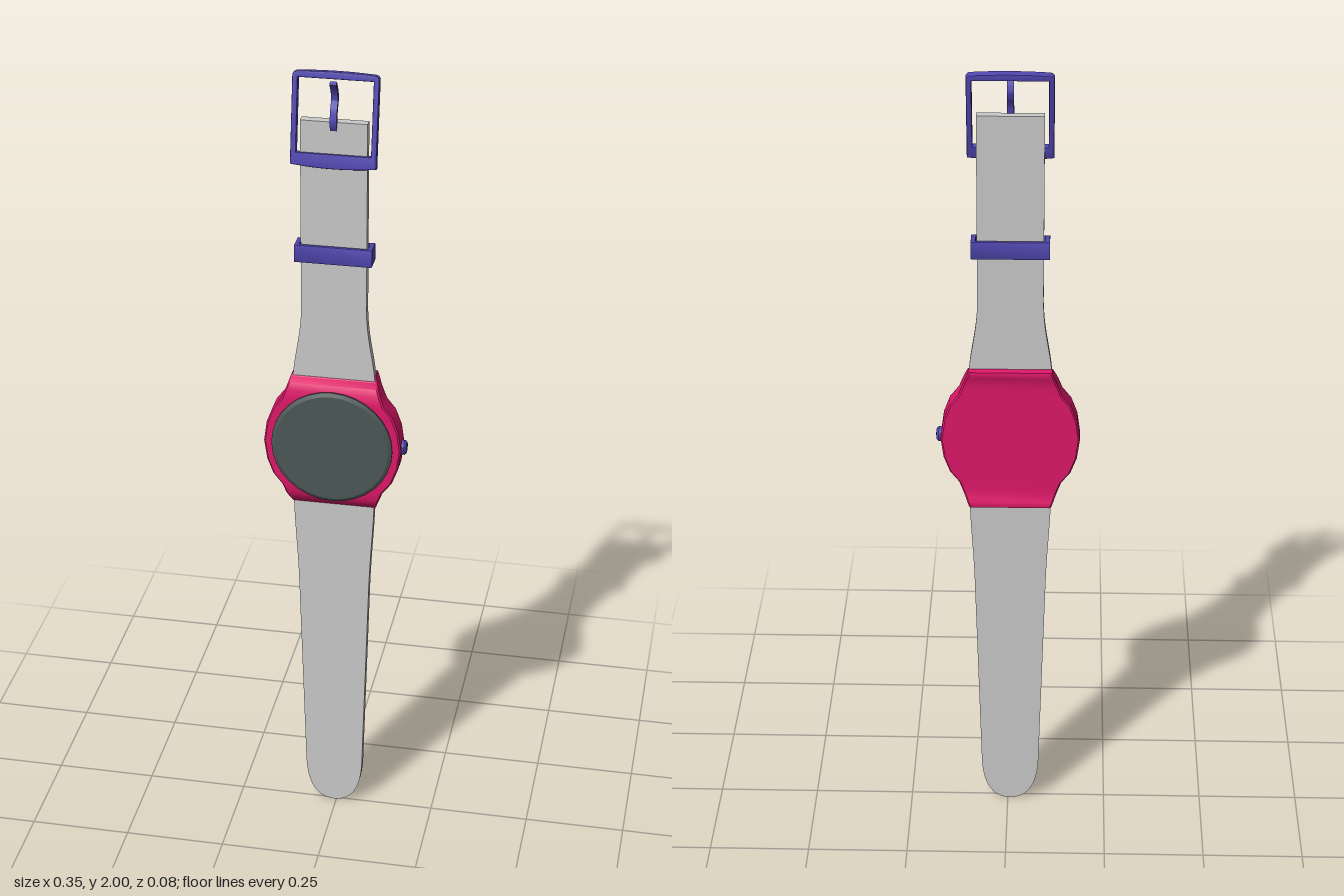
import * as THREE from 'three';
import { toCreasedNormals } from 'three/addons/utils/BufferGeometryUtils.js';

const CX = -0.006, CY = 1.067; // centre of the dial
const material = (color) => new THREE.MeshStandardMaterial({ color, roughness: 0.6 });

function addMesh(parent, name, geometry, mat, x = 0, y = 0, z = 0) {
  const mesh = new THREE.Mesh(geometry, mat);
  mesh.name = name;
  mesh.position.set(x, y, z);
  parent.add(mesh);
  return mesh;
}

// Plate of a given depth, centred on z = 0
function plate(shape, depth, bevel = 0) {
  const g = new THREE.ExtrudeGeometry(shape, {
    depth: depth - 2 * bevel, curveSegments: 12, bevelEnabled: bevel > 0,
    bevelThickness: bevel, bevelSize: bevel, bevelOffset: -bevel, bevelSegments: 2,
  });
  g.translate(0, 0, -depth / 2 + bevel);
  return toCreasedNormals(g, 0.6);
}

// Case: cross-sections stacked along y, rows are [y, halfWidth, zFront, zBack]
function caseGeometry() {
  const half = [
    [0, 0.168, 0.03, -0.028], [0.05, 0.161, 0.03, -0.028], [0.09, 0.146, 0.03, -0.028],
    [0.118, 0.124, 0.03, -0.028], [0.142, 0.115, 0.027, -0.028], [0.158, 0.109, 0.019, -0.03],
    [0.17, 0.105, 0.008, -0.034], [0.18, 0.101, 0.001, -0.036], [0.184, 0.1, -0.008, -0.035],
    [0.185, 0.1, -0.02, -0.03],
  ];
  const rows = [...half.slice(1).reverse().map(([y, ...r]) => [-y, ...r]), ...half];
  const pos = [], idx = [], n = 8, e = 0.004;
  for (const [y, w, f, b] of rows) {
    const ring = [[w - e, f], [w, f - e], [w, b + e], [w - e, b],
      [e - w, b], [-w, b + e], [-w, f - e], [e - w, f]];
    ring.forEach(([x, z]) => pos.push(x, y, z));
  }
  for (let r = 0; r < rows.length - 1; r++) {
    for (let i = 0; i < n; i++) {
      const a = r * n + i, b = r * n + (i + 1) % n;
      idx.push(a, b, a + n, b, b + n, a + n);
    }
  }
  const last = (rows.length - 1) * n;
  for (let i = 1; i < n - 1; i++) {
    idx.push(0, i + 1, i, last, last + i, last + i + 1);
  }
  const g = new THREE.BufferGeometry();
  g.setAttribute('position', new THREE.Float32BufferAttribute(pos, 3));
  g.setIndex(idx);
  return toCreasedNormals(g, 0.6);
}

// Strap outlines, in x relative to the centre line
function lowerStrapShape() {
  const s = new THREE.Shape();
  s.moveTo(-0.1, 0.91);
  s.bezierCurveTo(-0.098, 0.82, -0.091, 0.76, -0.088, 0.66);
  s.lineTo(-0.073, 0.12);
  s.bezierCurveTo(-0.07, 0.04, -0.045, 0, 0, 0);
  s.bezierCurveTo(0.045, 0, 0.07, 0.04, 0.073, 0.12);
  s.lineTo(0.088, 0.66);
  s.bezierCurveTo(0.091, 0.76, 0.098, 0.82, 0.1, 0.91);
  return s;
}

function upperStrapShape() {
  const s = new THREE.Shape();
  s.moveTo(0.1, 1.23);
  s.bezierCurveTo(0.096, 1.3, 0.08, 1.34, 0.078, 1.42);
  s.lineTo(0.078, 1.89);
  s.lineTo(-0.078, 1.89);
  s.lineTo(-0.078, 1.42);
  s.bezierCurveTo(-0.08, 1.34, -0.096, 1.3, -0.1, 1.23);
  return s;
}

function rectPath(Type, x0, y0, x1, y1) {
  return new Type([[x0, y0], [x1, y0], [x1, y1], [x0, y1]].map(([x, y]) => new THREE.Vector2(x, y)));
}

function buildBuckle(mat) {
  const buckle = new THREE.Group();
  buckle.name = 'buckle';
  // Frame with gently bowed top and bottom bars
  const s = new THREE.Shape();
  s.moveTo(-0.1, -0.106);
  s.quadraticCurveTo(0, -0.118, 0.1, -0.106);
  s.lineTo(0.1, 0.1);
  s.quadraticCurveTo(0.098, 0.107, 0.09, 0.108);
  s.quadraticCurveTo(0, 0.114, -0.09, 0.108);
  s.quadraticCurveTo(-0.098, 0.107, -0.1, 0.1);
  s.holes.push(rectPath(THREE.Path, -0.087, -0.078, 0.087, 0.094));
  const frame = addMesh(buckle, 'buckleFrame', plate(s, 0.02, 0.003), mat, CX, 1.889, -0.01);
  frame.rotation.x = -0.175;

  // Wavy prong, drawn in side profile and extruded across x
  const curve = new THREE.CatmullRomCurve3([
    [-0.004, 1.862], [0.008, 1.885], [0.003, 1.915], [-0.01, 1.94], [-0.004, 1.962], [0.012, 1.985],
  ].map(([z, y]) => new THREE.Vector3(-z, y, 0)));
  const steps = 20, left = [], right = [];
  for (let i = 0; i <= steps; i++) {
    const p = curve.getPoint(i / steps), t = curve.getTangent(i / steps);
    left.push(new THREE.Vector2(p.x - t.y * 0.005, p.y + t.x * 0.005));
    right.push(new THREE.Vector2(p.x + t.y * 0.005, p.y - t.x * 0.005));
  }
  const prong = plate(new THREE.Shape([...right, ...left.reverse()]), 0.016);
  prong.rotateY(Math.PI / 2);
  addMesh(buckle, 'prong', prong, mat, CX, 0, 0);
  return buckle;
}

export function createModel() {
  const model = new THREE.Group();
  model.name = 'wristwatch';
  const grey = material(0xcccccc), pink = material(0xe0186a);
  const blue = material(0x5046b0), dark = material(0x4c5856);

  // Straps
  addMesh(model, 'lowerStrap', plate(lowerStrapShape(), 0.022), grey, CX, 0, -0.005);
  addMesh(model, 'upperStrap', plate(upperStrapShape(), 0.022), grey, CX, 0, -0.005);

  // Case
  addMesh(model, 'case', caseGeometry(), pink, CX, CY, 0);

  // Dial glass with a bevelled rim
  const profile = [[0, 0.02], [0.142, 0.02], [0.142, 0.031], [0.148, 0.032], [0.148, 0.036], [0.139, 0.041], [0, 0.042]];
  const glass = new THREE.LatheGeometry(profile.map(([r, y]) => new THREE.Vector2(r, y)), 32);
  glass.rotateX(Math.PI / 2);
  addMesh(model, 'dialGlass', toCreasedNormals(glass, 0.4), dark, CX, CY, 0);

  // Crown on the model's left side
  const crownProfile = [[0, -0.012], [0.018, -0.012], [0.018, 0.005], [0.014, 0.01], [0, 0.012]];
  const crown = new THREE.LatheGeometry(crownProfile.map(([r, y]) => new THREE.Vector2(r, y)), 16);
  crown.rotateZ(-Math.PI / 2);
  addMesh(model, 'crown', toCreasedNormals(crown, 0.6), blue, 0.162, CY, 0.001);

  // Keeper loop around the upper strap
  const loop = rectPath(THREE.Shape, -0.092, -0.023, 0.092, 0.023);
  loop.holes.push(rectPath(THREE.Path, -0.081, -0.014, 0.081, 0.014));
  const loopGeometry = plate(loop, 0.044, 0.002);
  loopGeometry.rotateX(Math.PI / 2);
  addMesh(model, 'keeperLoop', loopGeometry, blue, CX, 1.563, -0.005);

  model.add(buildBuckle(blue));
  return model;
}
